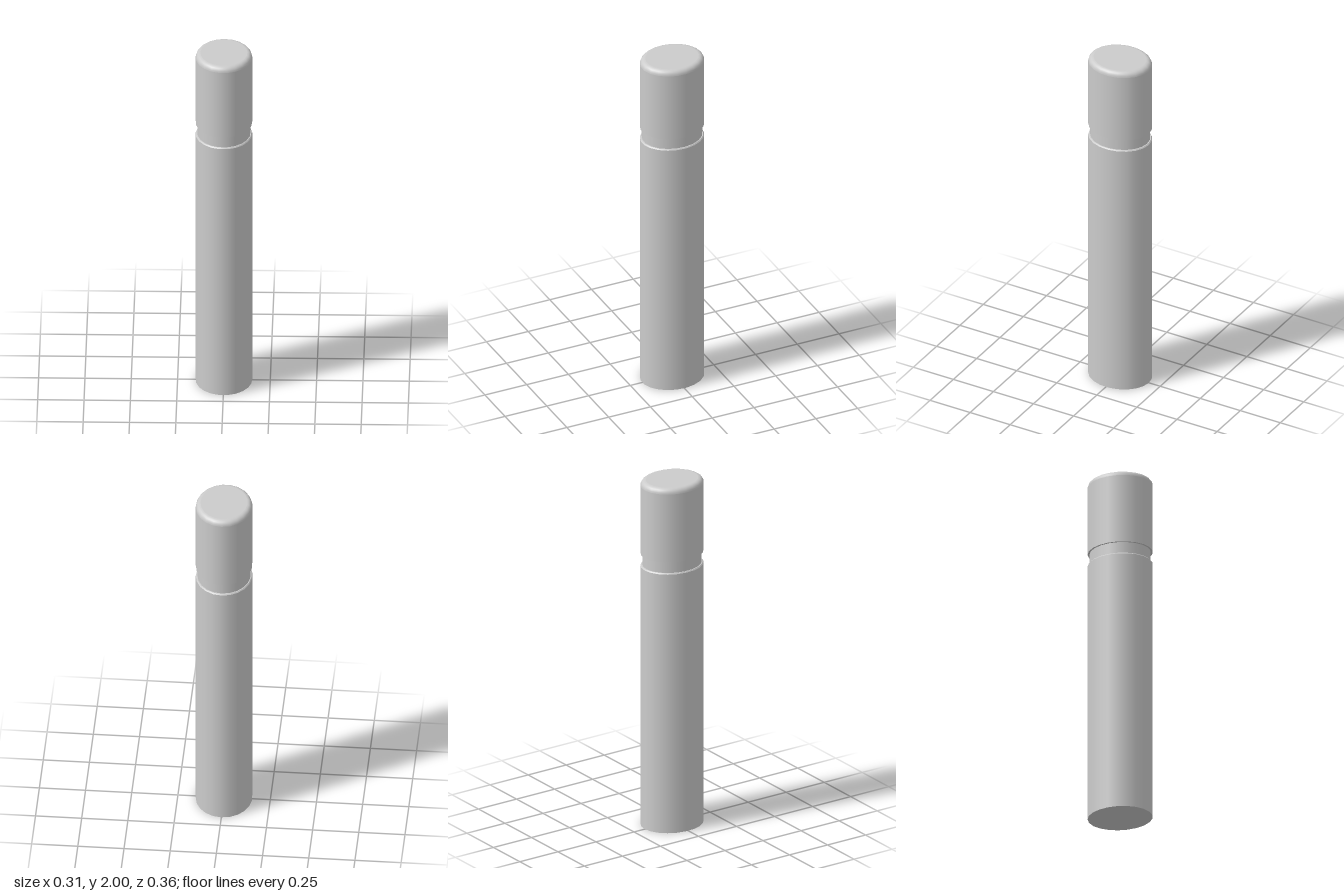
import * as THREE from 'three';

const SIDES = 21;
const RX = 0.153, RZ = 0.179;
const material = new THREE.MeshStandardMaterial({ color: 0xcccccc });

// Turns each smooth run of [radius, y] points (bottom to top) into an oval band;
// separate runs keep a sharp edge between them.
function ovalPart(name, runs) {
  const group = new THREE.Group();
  group.name = name;
  runs.forEach((run, i) => {
    const points = run.map(([r, y]) => new THREE.Vector2(r, y));
    const geometry = new THREE.LatheGeometry(points, SIDES, Math.PI);
    geometry.scale(RX, 1, RZ);
    const mesh = new THREE.Mesh(geometry, material);
    mesh.name = `${name}Band${i + 1}`;
    group.add(mesh);
  });
  return group;
}

export function createModel() {
  const model = new THREE.Group();
  model.name = 'ovalTube';

  const neck = 0.94, bodyTop = 1.51, capBottom = 1.575;

  // Long body with a flat base and a slightly bevelled shoulder
  model.add(ovalPart('body', [
    [[0, 0], [1, 0]],
    [[1, 0], [1, bodyTop - 0.006]],
    [[1, bodyTop - 0.006], [0.97, bodyTop]],
    [[0.97, bodyTop], [neck, bodyTop]],
  ]));

  // Recessed neck between body and cap
  model.add(ovalPart('neck', [[[neck, bodyTop], [neck, capBottom]]]));

  // Cap with a rounded top rim
  const rimWidth = 0.17, rimHeight = 0.03;
  const rim = [];
  for (let i = 0; i <= 6; i++) {
    const a = (i / 6) * Math.PI / 2;
    rim.push([1 - rimWidth * (1 - Math.cos(a)), 2 - rimHeight * (1 - Math.sin(a))]);
  }
  model.add(ovalPart('cap', [
    [[neck, capBottom], [1, capBottom]],
    [[1, capBottom], [1, 2 - rimHeight]],
    rim,
    [[1 - rimWidth, 2], [0, 2]],
  ]));

  return model;
}
